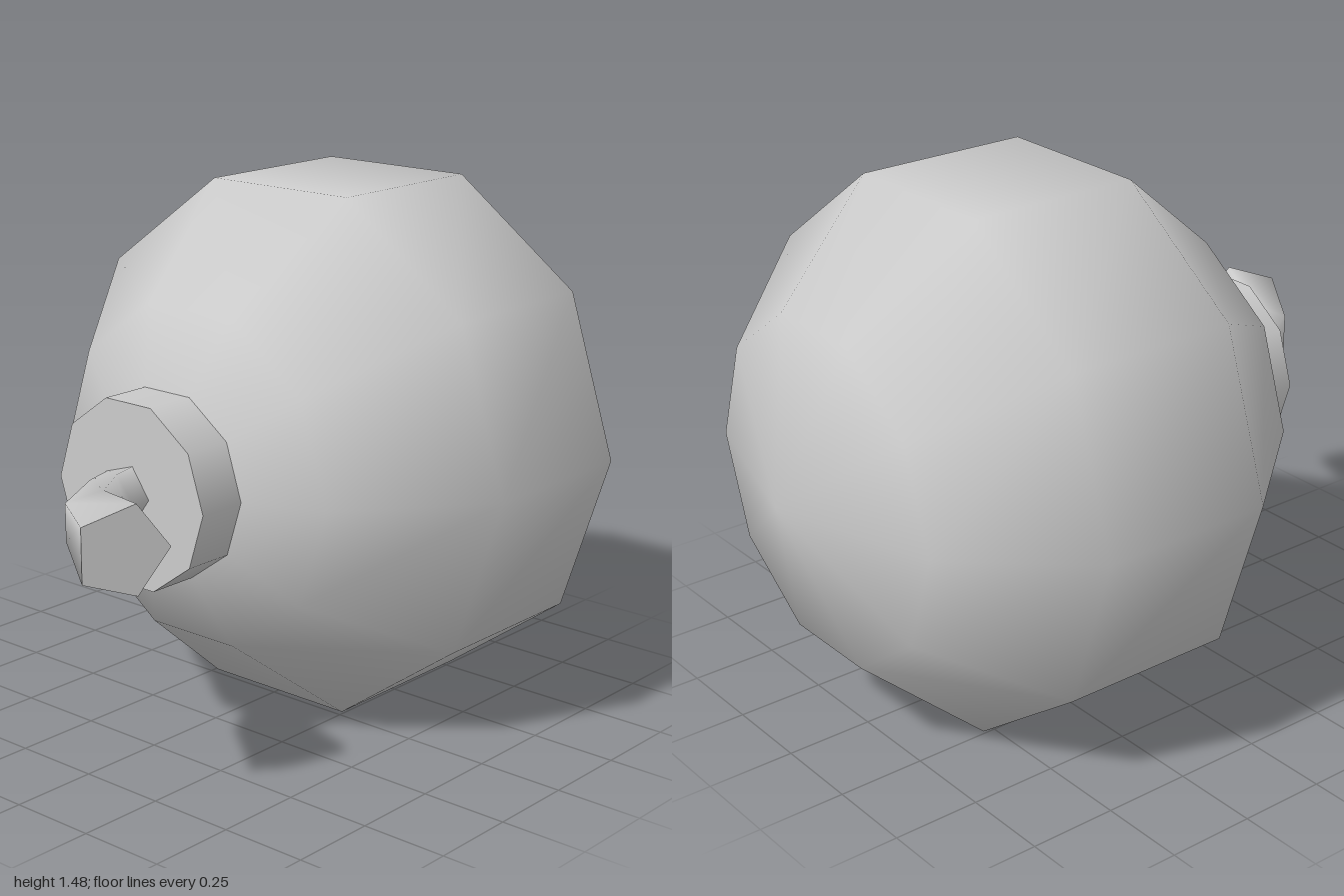
import * as THREE from 'three';
import { mergeVertices } from 'three/addons/utils/BufferGeometryUtils.js';

const CENTRE_Y = 0.742;
const SIDES = 10;

function addPart(group, name, geometry) {
  const mesh = new THREE.Mesh(geometry, new THREE.MeshStandardMaterial({ color: 0xcccccc }));
  mesh.name = name;
  mesh.position.y = CENTRE_Y;
  group.add(mesh);
}

// Ten-sided ball turned about z, welded so it shades smoothly
function ballGeometry() {
  const profile = [[0, -1], [0.482, -0.86], [0.78, -0.53], [0.78, -0.02], [0.482, 0.34], [0.26, 0.43]];
  const lathe = new THREE.LatheGeometry(profile.map(([r, z]) => new THREE.Vector2(r, z)), SIDES, Math.PI / 2);
  lathe.rotateX(Math.PI / 2);
  lathe.deleteAttribute('uv');
  lathe.deleteAttribute('normal');
  const geometry = mergeVertices(lathe, 1e-4);
  geometry.computeVertexNormals();
  return geometry;
}

// Pentagon ring: x, z of its pointed corner and of the middle of the opposite edge
function pentagon([ax, az, ex, ez]) {
  const across = new THREE.Vector3(ax - ex, 0, az - ez);
  const radius = across.length() / (1 + Math.cos(Math.PI / 5));
  across.normalize();
  const centre = new THREE.Vector3(ax, 0, az).addScaledVector(across, -radius);
  return Array.from({ length: 5 }, (_, j) => {
    const a = (j * Math.PI * 2) / 5;
    const p = centre.clone().addScaledVector(across, radius * Math.cos(a));
    p.y = radius * Math.sin(a);
    return p;
  });
}

function indexedGeometry(points, index) {
  const geometry = new THREE.BufferGeometry().setFromPoints(points);
  geometry.setIndex(index);
  geometry.computeVertexNormals();
  return geometry;
}

export function createModel() {
  const group = new THREE.Group();
  group.name = 'bomb';

  addPart(group, 'ball', ballGeometry());

  // Short collar at the front of the ball
  const collar = new THREE.CylinderGeometry(0.265, 0.265, 0.145, SIDES, 1, false, Math.PI / 2);
  collar.rotateX(Math.PI / 2).translate(0, 0, 0.5025);
  addPart(group, 'collar', collar);

  // Bent five-sided fuse that widens toward its tip
  const rings = [
    [0.07, 0.57, -0.085, 0.57],
    [0.07, 0.63, -0.07, 0.65],
    [0.15, 0.73, 0.04, 0.845],
    [0.37, 0.80, 0.26, 1.0],
  ].map(pentagon);
  const index = [];
  for (let i = 0; i < rings.length - 1; i++) {
    for (let j = 0; j < 5; j++) {
      const a = i * 5 + j;
      const b = i * 5 + ((j + 1) % 5);
      index.push(a, b, a + 5, b, b + 5, a + 5);
    }
  }
  addPart(group, 'fuse', indexedGeometry(rings.flat(), index));
  addPart(group, 'fuseTip', indexedGeometry(rings[3], [0, 1, 2, 0, 2, 3, 0, 3, 4]));

  return group;
}
